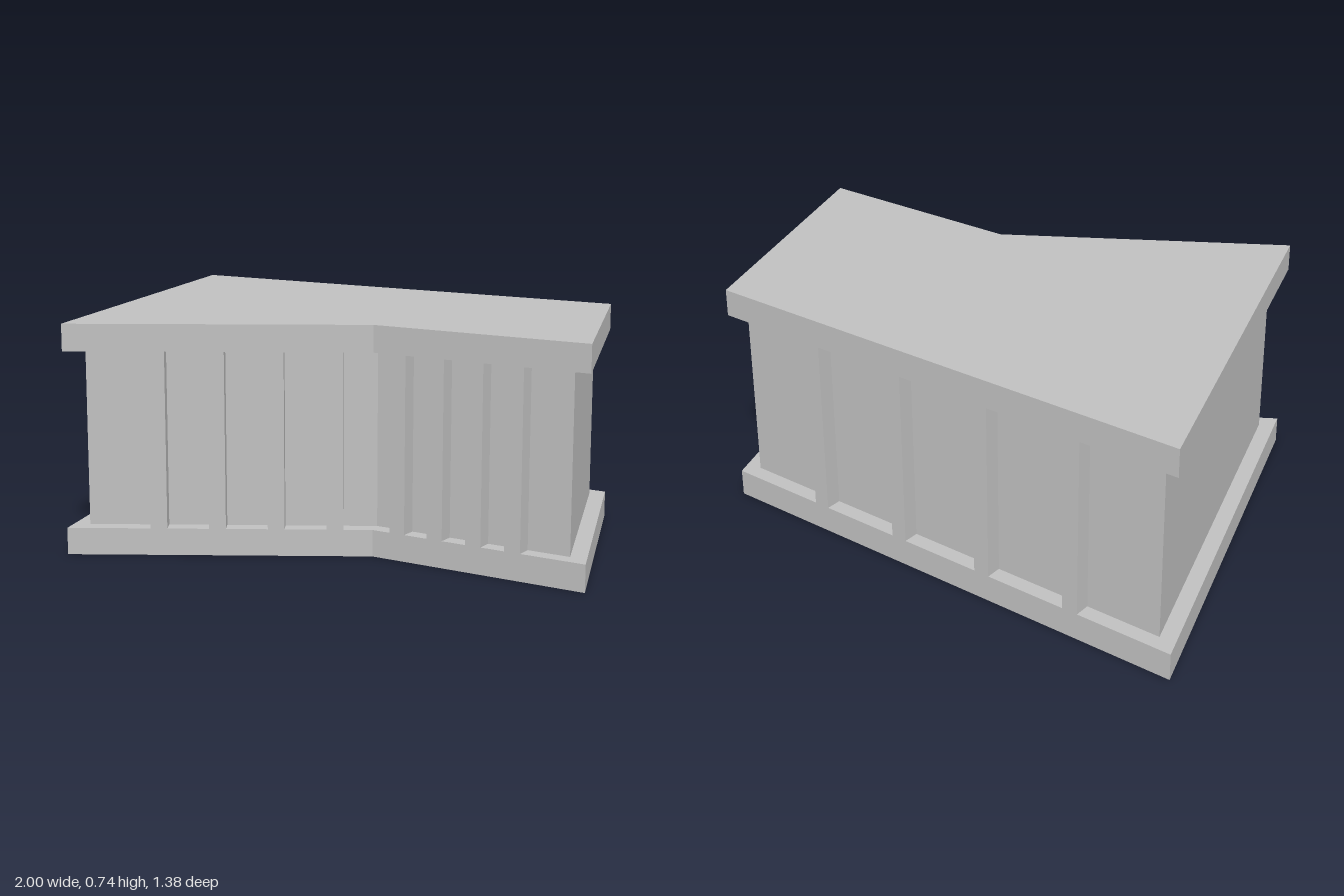
import * as THREE from 'three';

// Plan outline as (x, z), running left to right along the front
const OUTLINE = [[-1, -0.688], [-0.551, 0.688], [0.272, 0.188], [1, 0.188], [0.672, -0.688]]
  .map(([x, z]) => new THREE.Vector2(x, z));
const SLAB = 0.086, HEIGHT = 0.735, INSET = 0.051, RIB = 0.053;
const WALL = HEIGHT - 2 * SLAB;

// Outward normal of the edge from a to b
const edgeNormal = (a, b) => {
  const d = b.clone().sub(a).normalize();
  return new THREE.Vector2(-d.y, d.x);
};

// Move every edge of the outline inwards by the same distance
function insetOutline(points, distance) {
  const n = points.length;
  return points.map((p, i) => {
    const n1 = edgeNormal(points[(i + n - 1) % n], p);
    const n2 = edgeNormal(p, points[(i + 1) % n]);
    return p.clone().addScaledVector(n1.clone().add(n2), -distance / (1 + n1.dot(n2)));
  });
}

export function createModel() {
  const group = new THREE.Group();
  const grey = new THREE.MeshStandardMaterial({ color: 0xc0c0c0 });
  grey.name = 'grey';

  const addPrism = (name, points, bottom, height) => {
    const shape = new THREE.Shape(points.map(p => new THREE.Vector2(p.x, -p.y)));
    const geometry = new THREE.ExtrudeGeometry(shape, { depth: height, bevelEnabled: false });
    geometry.rotateX(-Math.PI / 2).translate(0, bottom, 0);
    const mesh = new THREE.Mesh(geometry, grey);
    mesh.name = name;
    group.add(mesh);
  };

  // Two slabs around a set-back core
  addPrism('bottomSlab', OUTLINE, 0, SLAB);
  addPrism('core', insetOutline(OUTLINE, INSET), SLAB, WALL);
  addPrism('topSlab', OUTLINE, HEIGHT - SLAB, SLAB);

  // Four upright ribs along one edge, flush with the slabs and rooted in the core
  const depth = INSET + 0.01;
  const ribGeometry = new THREE.BoxGeometry(RIB, WALL, depth);
  const addRibs = (name, edge, firstX, stepX) => {
    const a = OUTLINE[edge], b = OUTLINE[(edge + 1) % OUTLINE.length];
    const normal = edgeNormal(a, b);
    const row = new THREE.Group();
    row.name = name;
    for (let i = 0; i < 4; i++) {
      const t = (firstX + i * stepX - a.x) / (b.x - a.x);
      const p = a.clone().lerp(b, t).addScaledVector(normal, -depth / 2);
      const rib = new THREE.Mesh(ribGeometry, grey);
      rib.name = 'rib';
      rib.position.set(p.x, HEIGHT / 2, p.y);
      rib.rotation.y = Math.atan2(normal.x, normal.y);
      row.add(rib);
    }
    group.add(row);
  };
  addRibs('slantedFrontRibs', 1, -0.303, 0.158);
  addRibs('straightFrontRibs', 2, 0.36, 0.1335);
  addRibs('backRibs', 4, 0.312, -0.3225);

  return group;
}
